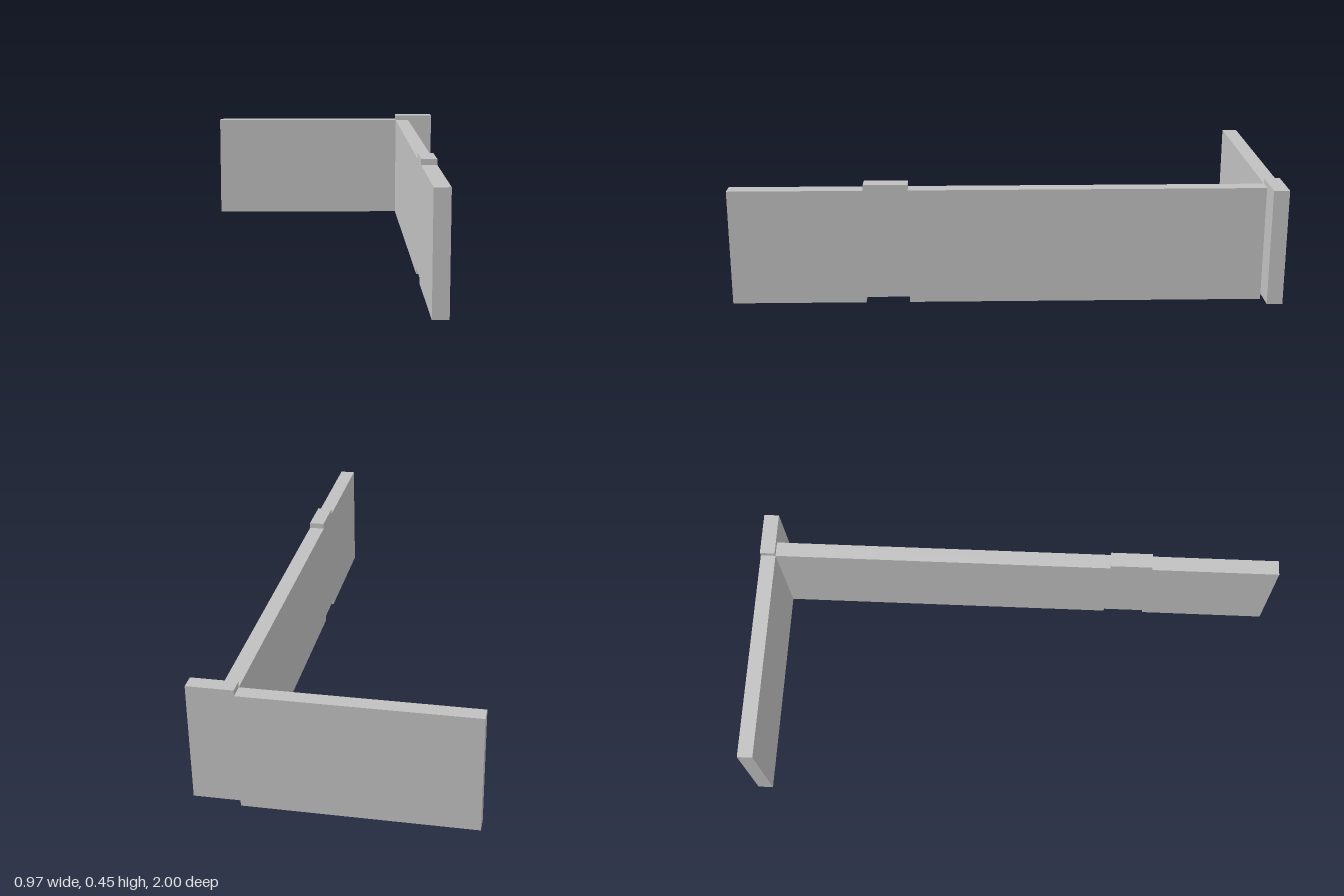
import * as THREE from 'three';

const HEIGHT = 0.428;
const STEP = 0.021;
const THICK = 0.057;

// Upright board whose section from a to b is shifted up: a tab above, a notch below
function boardGeometry(start, end, a, b) {
  const edge = [[start, 0], [a, 0], [a, STEP], [b, STEP], [b, 0], [end, 0]];
  const top = edge.map(([u, v]) => [u, v + HEIGHT]).reverse();
  const points = [...edge, ...top]
    .map(([u, v]) => new THREE.Vector2(u, v))
    .filter((p, i, all) => i === 0 || !p.equals(all[i - 1]));
  // a section reaching the end of the board needs no step back down
  const outline = b < end ? points : points.filter((p) => p.x < end || p.y === STEP || p.y === STEP + HEIGHT);
  return new THREE.ExtrudeGeometry(new THREE.Shape(outline), { depth: THICK, bevelEnabled: false });
}

export function createModel() {
  const model = new THREE.Group();
  const grey = new THREE.MeshStandardMaterial({ color: 0xc0c0c0 });
  grey.name = 'grey';

  // Cross board at the back, raised at its left end
  const backBoard = new THREE.Mesh(boardGeometry(-0.486, 0.486, 0.323, 0.486), grey);
  backBoard.name = 'backBoard';
  backBoard.position.z = -1;
  model.add(backBoard);

  // Long board running forward, raised near its front end
  const longBoard = new THREE.Mesh(boardGeometry(-1, 1 - THICK, -0.512, -0.352), grey);
  longBoard.name = 'longBoard';
  longBoard.rotation.y = Math.PI / 2;
  longBoard.position.x = 0.323;
  model.add(longBoard);

  return model;
}
